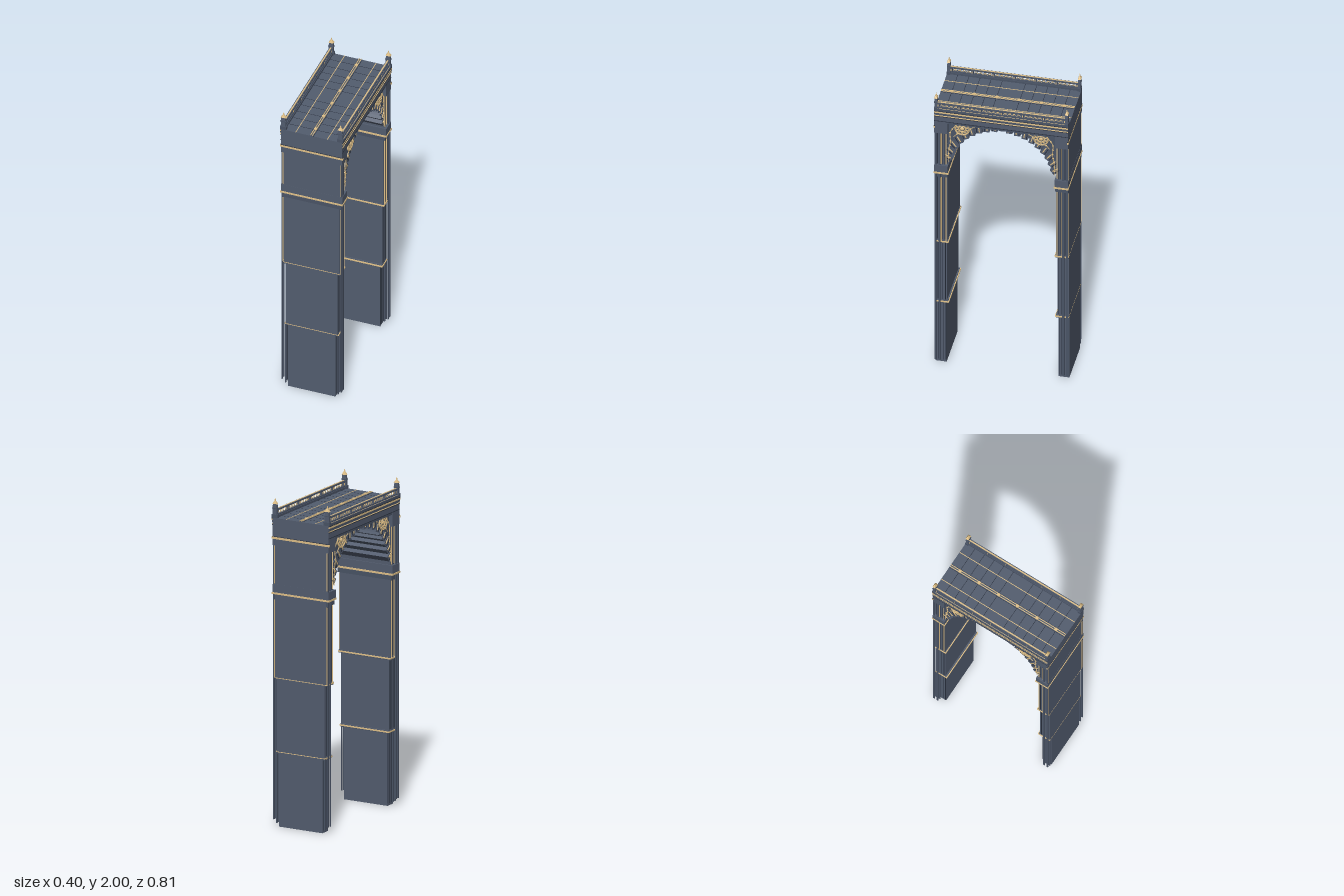
import * as THREE from 'three';

const mat = (name, color) => {
  const m = new THREE.MeshStandardMaterial({ color });
  m.name = name;
  return m;
};

export function createModel() {
  const root = new THREE.Group();
  root.name = 'archedBridge';
  const slate = mat('slate', 0x535d6f);
  const steel = mat('darkSteel', 0x4a5466);
  const ink = mat('deepNavy', 0x2b3240);
  const gold = mat('gold', 0xe0c189);

  const add = (name, geo, m, x = 0, y = 0, z = 0, parent = root) => {
    const mesh = new THREE.Mesh(geo, m);
    mesh.name = name;
    mesh.position.set(x, y, z);
    parent.add(mesh);
    return mesh;
  };
  // box given by its lower and upper limits on each axis
  const box = (name, m, [x0, x1], [y0, y1], [z0, z1], parent = root) =>
    add(name, new THREE.BoxGeometry(x1 - x0, y1 - y0, z1 - z0), m,
      (x0 + x1) / 2, (y0 + y1) / 2, (z0 + z1) / 2, parent);
  const span = (c, w) => [c - w / 2, c + w / 2];
  const wide = (w) => [-w, w];

  // ---- Piers, one at each end ----
  for (const s of [1, -1]) {
    const pier = new THREE.Group();
    pier.name = s > 0 ? 'frontPier' : 'backPier';
    pier.rotation.y = s > 0 ? 0 : Math.PI;
    root.add(pier);
    const part = (name, m, x, y, z) => box(name, m, x, y, z, pier);

    // stepped shaft: half width, bottom, top, inner face
    const tiers = [[0.15, 0, 0.455, 0.338], [0.165, 0.455, 0.905, 0.333],
      [0.176, 0.905, 1.42, 0.328], [0.178, 1.42, 1.8, 0.33]];
    for (const [w, y0, y1, z0] of tiers) {
      part('shaft', slate, wide(w), [y0, y1], [z0, 0.403]);
      for (const sx of [1, -1]) {
        for (const z of [0.342, 0.358, 0.387]) {
          part('shaftGroove', ink, span(sx * w, 0.003), [y0 + 0.015, y1 - 0.01], span(z, 0.004));
        }
      }
    }

    // slender side strips standing clear of the shaft
    for (const sx of [1, -1]) {
      for (const z of [0.374, 0.398]) {
        part('outerStrip', steel, span(sx * 0.187, 0.006), [0.04, 1.76], span(z, 0.011));
        part('innerStrip', steel, span(sx * 0.166, 0.006), [0.02, 0.455], span(z, 0.011));
      }
      for (const [y0, y1] of [[0.91, 1.38], [1.48, 1.71]]) {
        part('goldStrip', gold, span(sx * 0.1805, 0.006), [y0, y1], span(0.364, 0.005));
        part('goldStrip', gold, span(sx * 0.1795, 0.006), [y0, y1], span(0.335, 0.004));
        part('goldEdge', gold, span(sx * 0.181, 0.005), [y0, y1], span(0.4025, 0.003));
      }
    }

    // string courses between tiers
    for (const [y, w] of [[0.455, 0.169], [0.905, 0.18]]) {
      part('courseBase', steel, wide(w - 0.002), [y - 0.01, y - 0.002], [0.325, 0.402]);
      part('courseGold', gold, wide(w), [y - 0.002, y + 0.002], [0.321, 0.4038]);
      part('courseCap', slate, wide(w - 0.002), [y + 0.002, y + 0.009], [0.325, 0.402]);
      for (const sx of [1, -1]) {
        part('courseEnd', gold, span(sx * w, 0.004), span(y, 0.008), [0.322, 0.4]);
      }
      part('courseInner', gold, wide(w), span(y, 0.008), [0.32, 0.326]);
    }
    // capital below the arch spring
    part('capitalNeck', steel, wide(0.185), [1.385, 1.412], [0.325, 0.403]);
    part('capitalGold', gold, wide(0.197), [1.415, 1.426], [0.318, 0.407]);
    part('capitalBlock', slate, wide(0.194), [1.426, 1.475], [0.322, 0.404]);
    // head carrying the deck
    part('headBlock', slate, wide(0.193), [1.712, 1.805], [0.324, 0.404]);
    part('headGold', gold, wide(0.199), [1.752, 1.765], [0.398, 0.407]);
    part('headShadow', ink, wide(0.197), [1.765, 1.768], [0.398, 0.406]);

    // corner finials
    for (const sx of [1, -1]) {
      const finial = new THREE.Group();
      finial.name = 'finial';
      finial.position.set(sx * 0.18, 0, 0.395);
      pier.add(finial);
      box('finialBase', steel, wide(0.02), [1.88, 1.9], wide(0.01), finial);
      box('finialBlock', slate, wide(0.014), [1.9, 1.935], wide(0.008), finial);
      box('finialCollar', steel, wide(0.018), [1.935, 1.94], wide(0.0095), finial);
      const turn = (name, r0, r1, y0, y1, m) => {
        const g = new THREE.CylinderGeometry(r1, r0, y1 - y0, 4).toNonIndexed();
        g.rotateY(Math.PI / 4);
        g.scale(1, 1, 0.6);
        g.computeVertexNormals();
        add(name, g, m, 0, (y0 + y1) / 2, 0, finial);
      };
      turn('finialLantern', 0.02, 0.017, 1.94, 1.965, slate);
      turn('finialRoof', 0.023, 0.006, 1.965, 1.983, gold);
      turn('finialTip', 0.007, 0.001, 1.983, 2.0, gold);
    }
  }

  // ---- Deck ----
  box('deckSlab', slate, wide(0.194), [1.8, 1.88], wide(0.405));
  box('deckUnderside', steel, wide(0.19), [1.785, 1.8], wide(0.34));
  for (const z of [0.07, 0.138, 0.205, 0.272, 0.34]) {
    for (const s of [1, -1]) box('plankJoint', ink, wide(0.167), [1.879, 1.8805], span(s * z, 0.003));
  }
  box('centreBed', ink, wide(0.0135), [1.879, 1.881], wide(0.404));
  box('centreSpine', slate, wide(0.0115), [1.88, 1.883], wide(0.404));
  for (const s of [1, -1]) {
    box('centreLine', gold, span(s * 0.006, 0.004), [1.88, 1.887], wide(0.404));
    box('laneLine', gold, span(s * 0.1, 0.004), [1.879, 1.8815], wide(0.404));
    for (const z of [0.066, 0.203, 0.337]) {
      add('deckStud', new THREE.CylinderGeometry(0.01, 0.01, 0.01, 16), gold, 0, 1.884, s * z);
    }
  }

  // ---- Deck edges and balustrades ----
  for (const s of [1, -1]) {
    const side = new THREE.Group();
    side.name = s > 0 ? 'leftBalustrade' : 'rightBalustrade';
    side.rotation.y = s > 0 ? 0 : Math.PI;
    root.add(side);
    const run = (name, m, x, y, w = 0.404) => box(name, m, x, y, wide(w), side);
    // fascia mouldings
    run('fasciaFoot', ink, [0.17, 0.195], [1.8, 1.804]);
    run('fasciaGroove', ink, [0.18, 0.197], [1.836, 1.841]);
    run('fasciaThinGold', gold, [0.18, 0.198], [1.841, 1.845]);
    run('fasciaStep', steel, [0.18, 0.198], [1.852, 1.864]);
    run('fasciaGold', gold, [0.18, 0.2], [1.864, 1.874]);
    run('capShadow', ink, [0.18, 0.199], [1.874, 1.879]);
    run('fasciaCap', steel, [0.167, 0.2], [1.879, 1.893]);
    run('kerbGold', gold, [0.192, 0.1945], [1.89, 1.894]);
    // rails
    run('lowerRail', steel, [0.172, 0.188], [1.893, 1.899], 0.39);
    run('topRail', steel, [0.17, 0.19], [1.922, 1.928], 0.39);
    run('topRailCap', slate, [0.172, 0.188], [1.928, 1.931], 0.39);
    run('topRailGold', gold, [0.1755, 0.1835], [1.93, 1.933], 0.39);
    // posts and open panels
    for (let i = -3; i <= 3; i++) {
      const z = i * 0.127;
      box('railPost', slate, [0.172, 0.188], [1.893, 1.928], span(z, 0.014), side);
      box('railPostPlate', gold, [0.171, 0.189], [1.904, 1.918], span(z, 0.006), side);
      if (i === 3) continue;
      for (let k = 0; k < 4; k++) {
        const c = z + 0.0225 + k * 0.0275;
        for (const a of [1, -1]) {
          const bar = box('latticeBar', gold, [0.179, 0.181], span(1.911, 0.002), span(c, 0.034), side);
          bar.rotation.x = a * 0.7;
        }
        const ring = add('latticeRing', new THREE.TorusGeometry(0.007, 0.0012, 4, 12), gold, 0.18, 1.911, c, side);
        ring.rotation.y = Math.PI / 2;
      }
    }
  }

  // ---- Arch vault: solid above an elliptical curve ----
  const cy = 1.47, a = 0.332, b = 0.325;
  const shape = new THREE.Shape();
  shape.moveTo(-0.345, 1.8);
  shape.lineTo(-0.345, cy + 0.03);
  for (let i = 0; i <= 28; i++) {
    const t = Math.PI * (1 - i / 28);
    shape.lineTo(a * Math.cos(t), cy + b * Math.sin(t));
  }
  shape.lineTo(0.345, cy + 0.03);
  shape.lineTo(0.345, 1.8);
  const vault = new THREE.ExtrudeGeometry(shape, { depth: 0.34, bevelEnabled: false });
  vault.rotateY(-Math.PI / 2);
  vault.translate(0.17, 0, 0);
  add('archVault', vault, steel);

  // saw-tooth ribs across the soffit
  const ribs = 9;
  for (const s of [1, -1]) {
    for (let i = 0; i < ribs; i++) {
      const t = 0.2 + (i / (ribs - 1)) * 1.24;
      const rib = new THREE.Group();
      rib.name = 'archRib';
      rib.position.set(0, cy + b * Math.sin(t), s * a * Math.cos(t));
      // each rib is tilted a little off the radius
      rib.rotation.x = s * ((Math.PI / 2 - t) * 0.8 - 0.2);
      root.add(rib);
      box('ribBeam', slate, wide(0.177), [-0.03, 0.026], span(0, 0.038), rib);
      box('ribShoulder', steel, wide(0.174), [-0.016, 0.026], span(s * 0.018, 0.03), rib);
      for (const sx of [1, -1]) {
        box('ribPanel', ink, span(sx * 0.177, 0.003), [-0.024, 0.02], span(s * 0.011, 0.006), rib);
        box('ribGold', gold, span(sx * 0.178, 0.005), [-0.018, 0.022], span(-s * 0.005, 0.006), rib);
      }
    }
  }
  box('keystone', slate, wide(0.18), [1.775, 1.81], wide(0.016));
  box('keystoneGold', gold, wide(0.183), [1.786, 1.797], wide(0.01));

  // ---- Spandrel ornament on both faces ----
  for (const sx of [1, -1]) {
    for (const s of [1, -1]) {
      const rosette = new THREE.Group();
      rosette.name = 'rosette';
      rosette.position.set(sx * 0.181, 1.757, s * 0.238);
      rosette.rotation.y = sx * Math.PI / 2;
      root.add(rosette);
      const back = add('rosetteBack', new THREE.CylinderGeometry(0.045, 0.045, 0.006, 24), slate, 0, 0, -0.003, rosette);
      back.rotation.x = Math.PI / 2;
      for (const r of [0.044, 0.02]) {
        add('rosetteRing', new THREE.TorusGeometry(r, 0.0035, 6, 24), gold, 0, 0, 0.001, rosette);
      }
      for (let k = 0; k < 10; k++) {
        const q = (k * Math.PI) / 5;
        add('rosettePetal', new THREE.TorusGeometry(0.0085, 0.003, 5, 10), gold,
          0.032 * Math.cos(q), 0.032 * Math.sin(q), 0.001, rosette);
      }
      add('rosetteHub', new THREE.SphereGeometry(0.013, 12, 8), gold, 0, 0, 0, rosette).scale.z = 0.5;

      // trailing scrolls with leaf beads along the arch
      const scrolls = [
        [[0.322, 1.5], [0.318, 1.58], [0.308, 1.65], [0.31, 1.72], [0.28, 1.77]],
        [[0.29, 1.69], [0.265, 1.715], [0.24, 1.712]],
        [[0.19, 1.765], [0.15, 1.785], [0.11, 1.788]]];
      for (const pts of scrolls) {
        const path = new THREE.CatmullRomCurve3(
          pts.map(([z, y]) => new THREE.Vector3(sx * 0.181, y, s * z)));
        add('spandrelScroll', new THREE.TubeGeometry(path, 20, 0.0025, 5), gold);
        const leaves = Math.round(path.getLength() / 0.03);
        for (let k = 1; k < leaves; k++) {
          const p = path.getPointAt(k / leaves);
          add('scrollLeaf', new THREE.SphereGeometry(0.006, 8, 6), gold, p.x, p.y, p.z).scale.x = 0.5;
        }
      }
      box('spandrelLine', gold, span(sx * 0.172, 0.012), [1.795, 1.799], span(s * 0.1, 0.16));
    }
  }
  return root;
}
